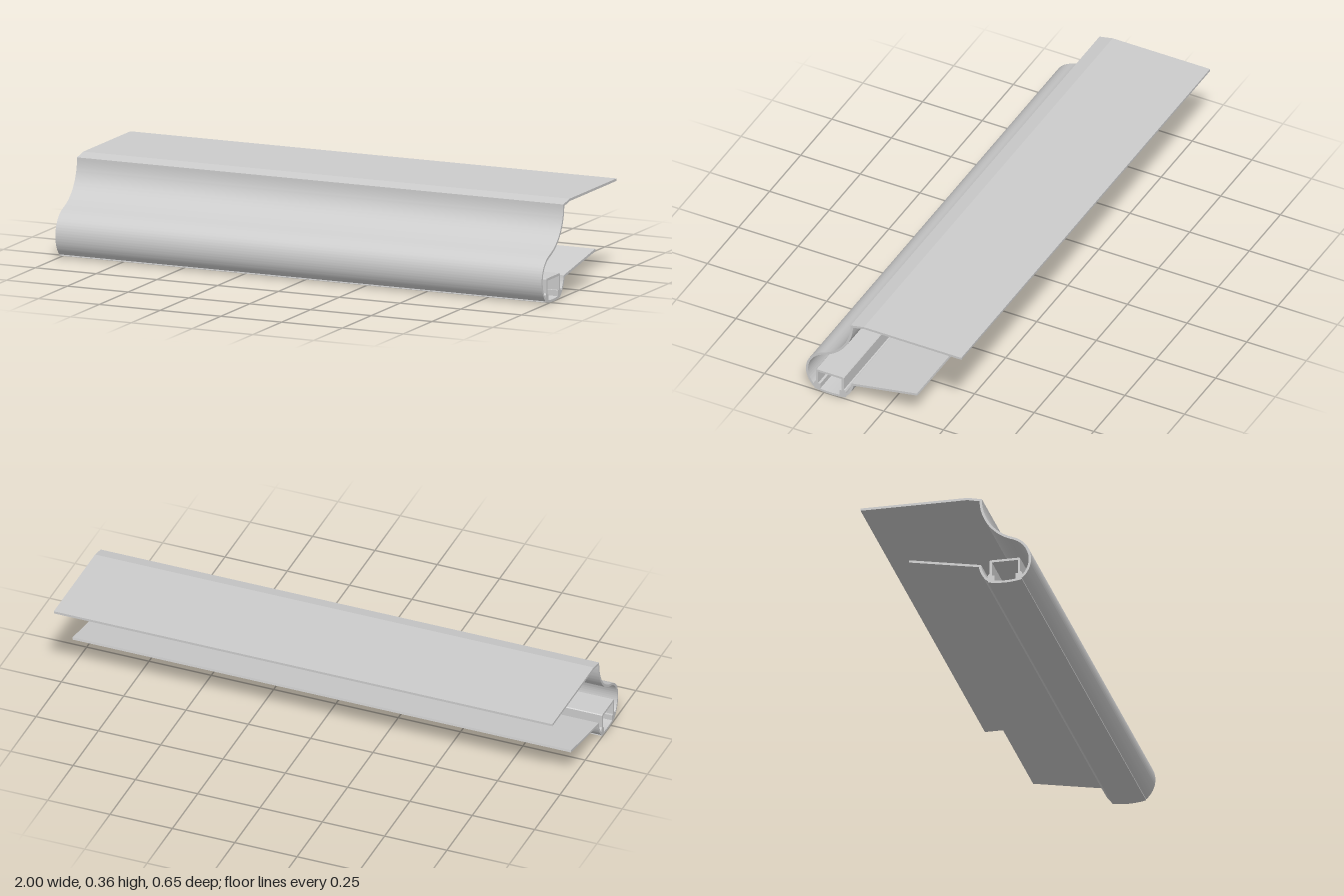
import * as THREE from 'three';
import { toCreasedNormals } from 'three/addons/utils/BufferGeometryUtils.js';

const LENGTH = 2;
const WALL = 0.0092;
const MID = -0.2262; // centre of the round lower chamber (section x = -z)
const P = (x, y) => new THREE.Vector2(x, y);

// Points along an arc, angles in degrees
function arc(cx, cy, r, from, to, n) {
  return Array.from({ length: n + 1 }, (_, i) => {
    const a = THREE.MathUtils.degToRad(from + ((to - from) * i) / n);
    return P(cx + r * Math.cos(a), cy + r * Math.sin(a));
  });
}

// Closed outline of a wall of even thickness around a centre line, mitred at corners
function wall(points, thickness = WALL) {
  const left = [], right = [];
  points.forEach((p, i) => {
    const a = points[Math.max(i - 1, 0)], b = points[Math.min(i + 1, points.length - 1)];
    const d1 = (i > 0 ? p.clone().sub(a) : b.clone().sub(p)).normalize();
    const d2 = (i < points.length - 1 ? b.clone().sub(p) : d1.clone()).normalize();
    const n1 = P(-d1.y, d1.x), n2 = P(-d2.y, d2.x);
    const m = n1.clone().add(n2).normalize();
    m.multiplyScalar(thickness / 2 / m.dot(n1));
    left.push(p.clone().add(m));
    right.unshift(p.clone().sub(m));
  });
  return [...left, ...right];
}

export function createModel() {
  const group = new THREE.Group();
  const material = new THREE.MeshStandardMaterial({ color: 0xcccccc });

  // Extrude a cross-section along the full length, left to right
  function addProfile(name, outline) {
    const geo = new THREE.ExtrudeGeometry(new THREE.Shape(outline), { depth: LENGTH, bevelEnabled: false });
    geo.translate(0, 0, -LENGTH / 2);
    geo.rotateY(Math.PI / 2);
    const mesh = new THREE.Mesh(toCreasedNormals(geo, 0.13), material);
    mesh.name = name;
    group.add(mesh);
  }

  // Top flange, concave cove and round nose in one continuous wall
  addProfile('coveProfile', wall([
    P(0.325, 0.358),
    P(-0.083, 0.358),
    ...arc(-0.3114, 0.3473, 0.1775, 0, -71.8, 32),
    ...arc(MID, 0.0875, 0.0955, 108.2, 229, 40).slice(1),
  ]));

  // Rear of the chamber with the sloping lower flange
  addProfile('lowerFlange', wall([
    ...arc(MID, 0.0875, 0.0955, 311, 354, 16),
    P(0.14, 0.126),
  ]));

  // Shallow curved cover closing the bottom
  const sag = 0.007, half = 0.064;
  const r = (half * half + sag * sag) / (2 * sag);
  const sweep = THREE.MathUtils.radToDeg(Math.asin(half / r));
  addProfile('bottomCover', wall(arc(MID, 0.0046 + r, r, 270 - sweep, 270 + sweep, 20)));

  // Inverted U channel with thickened feet, mirrored about its centre
  const side = [
    [0.0555, 0.0965], [0.0585, 0.0935], [0.0585, 0.041], [0.063, 0.0385],
    [0.0665, 0.032], [0.068, 0.022], [0.063, 0.012], [0.04, 0.009],
    [0.04, 0.034], [0.0495, 0.034], [0.0495, 0.0875],
  ];
  addProfile('innerChannel', [
    ...side.map(([x, y]) => P(MID + x, y)),
    ...side.map(([x, y]) => P(MID - x, y)).reverse(),
  ]);

  return group;
}
